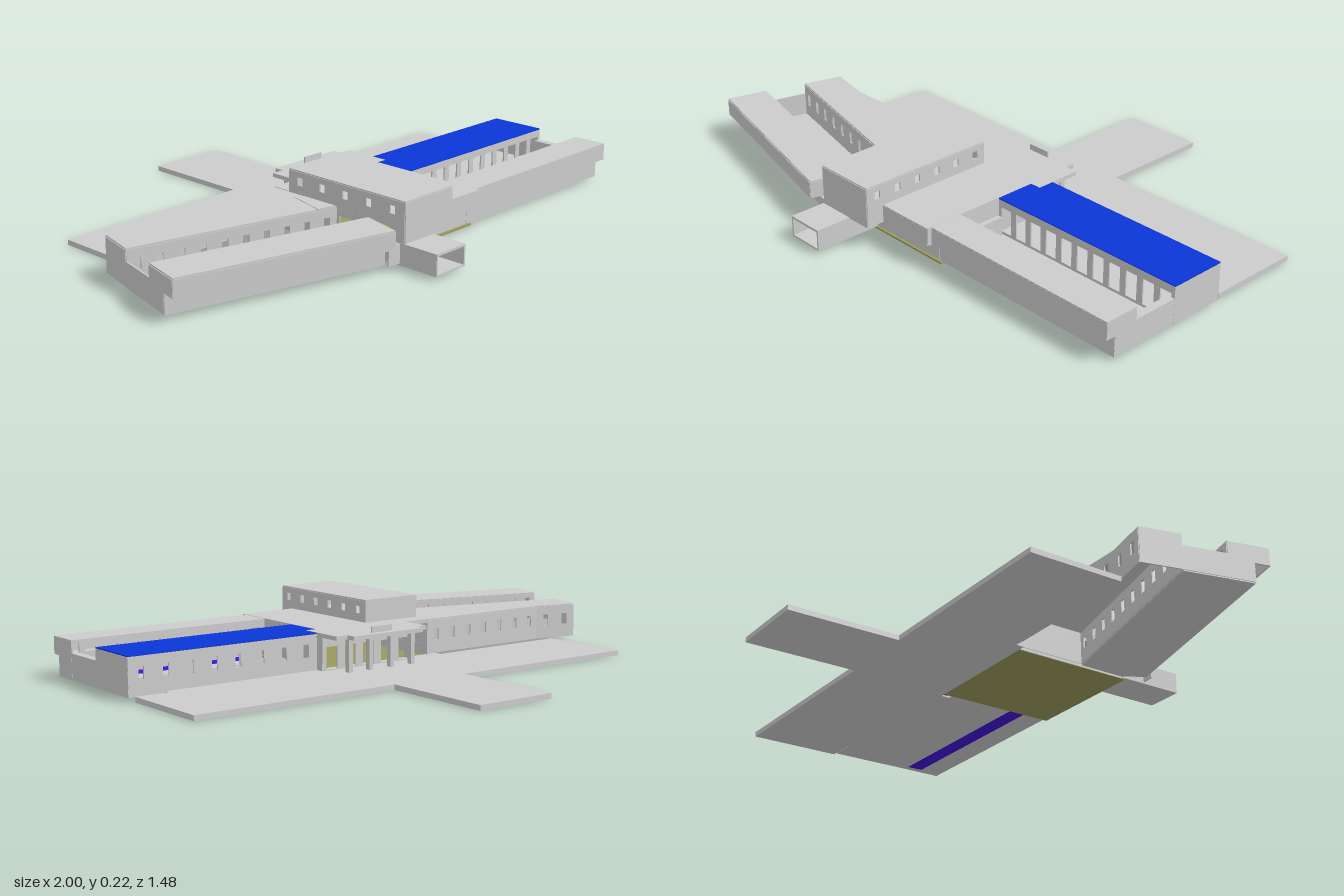
import * as THREE from 'three';

const material = (color) => new THREE.MeshStandardMaterial({ color, flatShading: true, side: THREE.DoubleSide });
const grey = material(0xcccccc), blue = material(0x0a36d8), purple = material(0x4210d8), olive = material(0x9a9a5c);

export function createModel() {
  const model = new THREE.Group();
  let part = model;
  const section = (name) => {
    part = new THREE.Group();
    part.name = name;
    model.add(part);
  };
  const add = (name, geometry, mat = grey) => {
    const mesh = new THREE.Mesh(geometry, mat);
    mesh.name = name;
    part.add(mesh);
    return mesh;
  };

  // Box given by its limits
  const block = (name, x0, x1, y0, y1, z0, z1, mat) => {
    add(name, new THREE.BoxGeometry(x1 - x0, y1 - y0, z1 - z0), mat)
      .position.set((x0 + x1) / 2, (y0 + y1) / 2, (z0 + z1) / 2);
  };

  // Horizontal slab over a plan outline of [x, z] points
  const slab = (name, pts, y0, y1, mat) => {
    const shape = new THREE.Shape(pts.map(([x, z]) => new THREE.Vector2(x, -z)));
    const geometry = new THREE.ExtrudeGeometry(shape, { depth: y1 - y0, bevelEnabled: false });
    add(name, geometry.rotateX(-Math.PI / 2).translate(0, y0, 0), mat);
  };

  // Thin vertical wall between two plan points, with a row of window openings
  const wall = (name, [ax, az], [bx, bz], y0, y1, windows = 0, width = 0.022, sill = 0.4, head = 0.75) => {
    const length = Math.hypot(bx - ax, bz - az), h = y1 - y0, t = 0.005;
    const rect = (S, x0, b, x1, c) => new S([[x0, b], [x1, b], [x1, c], [x0, c]].map((p) => new THREE.Vector2(...p)));
    const shape = rect(THREE.Shape, 0, 0, length, h);
    for (let i = 0; i < windows; i++) {
      const mid = length * (i + 0.5) / windows;
      shape.holes.push(rect(THREE.Path, mid - width / 2, h * sill, mid + width / 2, h * head));
    }
    const geometry = new THREE.ExtrudeGeometry(shape, { depth: t, bevelEnabled: false }).translate(0, 0, -t / 2);
    const mesh = add(name, geometry);
    mesh.position.set(ax, y0, az);
    mesh.rotation.y = -Math.atan2(bz - az, bx - ax);
  };

  // Walls along a closed outline; counts gives the windows on each side
  const walls = (name, pts, y0, y1, counts = []) =>
    pts.forEach((p, i) => wall(name, p, pts[(i + 1) % pts.length], y0, y1, counts[i] || 0));
  const rectangle = (x0, x1, z0, z1) => [[x0, z0], [x1, z0], [x1, z1], [x0, z1]];

  // Terrace and approach
  section('ground');
  slab('terrace', [[-0.79, -0.33], [-0.055, -0.33], [-0.055, -0.74], [0.24, -0.74], [0.24, -0.33],
    [0.985, -0.33], [0.985, 0.01], [0.87, 0.01], [0.87, 0.04], [-0.24, 0.04], [-0.24, 0.01], [-0.79, 0.01]], 0.002, 0.02);

  // Central hall: lower storey set back at the front, roof carried out as a canopy at the back
  section('centralHall');
  block('hallFloor', -0.2, 0.26, 0.01, 0.016, 0.04, 0.5, olive);
  slab('hallRoof', [[-0.055, -0.115], [0.24, -0.115], [0.24, -0.08], [0.285, -0.08], [0.285, 0.09], [0.245, 0.09],
    [0.245, 0.54], [-0.2, 0.54], [-0.2, 0.03], [-0.1, 0.03], [-0.1, -0.08], [-0.055, -0.08]], 0.133, 0.147);
  wall('frontUpperWall', [-0.065, 0.538], [0.243, 0.538], 0.085, 0.143);
  wall('frontLowerWall', [-0.2, 0.488], [0.243, 0.488], 0.012, 0.09);
  block('overhangSoffit', -0.2, 0.245, 0.085, 0.09, 0.488, 0.54);
  wall('rightWall', [0.243, 0.09], [0.243, 0.488], 0.012, 0.14);
  wall('rightUpperWall', [0.243, 0.488], [0.243, 0.538], 0.085, 0.14);
  wall('leftWall', [-0.198, 0.03], [-0.198, 0.488], 0.012, 0.14, 5, 0.05, 0.35, 0.8);
  wall('entranceWall', [-0.1, 0], [0.285, 0], 0.018, 0.135, 5, 0.045, 0.05, 0.7);
  for (const x of [-0.1, 0.283]) wall('entranceReturn', [x, 0], [x, 0.04], 0.018, 0.135);
  for (const x of [-0.04, 0.05, 0.14, 0.225]) block('canopyColumn', x - 0.008, x + 0.008, 0.018, 0.135, -0.08, -0.06);
  block('entrancePanel', 0.06, 0.145, 0.145, 0.168, -0.09, -0.085);

  // Raised block on the hall roof
  section('upperBlock');
  const upper = rectangle(-0.2, 0.025, 0.1, 0.603);
  slab('upperRoof', upper, 0.218, 0.226);
  walls('upperWall', upper, 0.145, 0.222, [0, 6, 0, 5]);
  walls('upperFrontBase', rectangle(-0.2, 0.025, 0.54, 0.603), 0.085, 0.147);
  block('upperSoffit', -0.2, 0.025, 0.085, 0.09, 0.54, 0.603);

  // Open-ended porch at the front
  section('porch');
  block('porchRoof', -0.203, -0.065, 0.08, 0.088, 0.488, 0.735);
  block('porchFloor', -0.203, -0.065, 0.014, 0.02, 0.488, 0.735);
  for (const x of [-0.203, -0.071]) block('porchSide', x, x + 0.006, 0.014, 0.085, 0.488, 0.735);

  // Right wing: back bar, courtyard and overhanging front bar
  section('rightWing');
  const rightBack = [[0.285, 0.03], [0.998, 0.03], [0.998, 0.235], [0.245, 0.235], [0.245, 0.09], [0.285, 0.09]];
  slab('backBarRoof', rightBack, 0.14, 0.146, blue);
  slab('backBarFloor', rightBack, 0.014, 0.02);
  wall('backWall', [0.285, 0.032], [0.998, 0.032], 0.014, 0.142, 8);
  wall('backBarEnd', [0.996, 0.03], [0.996, 0.235], 0.014, 0.142);
  wall('courtyardBackWall', [0.245, 0.233], [0.998, 0.233], 0.014, 0.142, 11, 0.045, 0.12, 0.8);
  block('courtyardFloor', 0.245, 0.998, 0.014, 0.02, 0.235, 0.34);
  block('courtyardStrip', 0.245, 0.97, 0.013, 0.021, 0.34, 0.4, purple);
  block('courtyardEnd', 0.97, 0.998, 0.014, 0.103, 0.235, 0.41);
  block('courtyardPartition', 0.268, 0.286, 0.02, 0.1, 0.26, 0.4);
  block('frontBarRoof', 0.245, 0.998, 0.14, 0.146, 0.4, 0.523);
  block('frontBarFloor', 0.245, 0.998, 0.014, 0.02, 0.4, 0.49);
  block('frontBarSoffit', 0.245, 0.998, 0.085, 0.09, 0.48, 0.523);
  wall('frontUpperWall', [0.245, 0.521], [0.998, 0.521], 0.085, 0.142);
  wall('frontLowerWall', [0.245, 0.488], [0.998, 0.488], 0.014, 0.09);
  wall('courtyardFrontWall', [0.245, 0.402], [0.97, 0.402], 0.02, 0.142, 9, 0.04, 0.4, 0.8);
  wall('frontBarEnd', [0.996, 0.4], [0.996, 0.488], 0.014, 0.142);
  wall('frontUpperEnd', [0.996, 0.488], [0.996, 0.523], 0.085, 0.142);

  // Left wing: the same layout, turned and with its back bar tapering
  section('leftWing');
  const leftBack = [[-0.89, 0], [-0.73, 0.035], [-0.2, 0.035], [-0.2, 0.312], [-0.926, 0.138]];
  slab('backBarRoof', leftBack, 0.138, 0.145);
  walls('backBarWall', leftBack, 0.022, 0.14, [2, 7, 0, 10, 0]);
  const leftFront = [[-0.963, 0.29], [-0.222, 0.47], [-0.259, 0.615], [-0.998, 0.432]];
  const lowerFront = [[-0.963, 0.29], [-0.222, 0.47], [-0.245, 0.56], [-0.985, 0.379]];
  slab('frontBarRoof', leftFront, 0.143, 0.15);
  walls('frontUpperWall', leftFront, 0.088, 0.145, [12]);
  walls('frontLowerWall', lowerFront, 0.022, 0.09, [12]);
  slab('wingFloor', [[-0.926, 0.138], [-0.2, 0.312], [-0.2, 0.48], [-0.245, 0.56], [-0.985, 0.379]], 0.018, 0.024);
  wall('courtyardEnd', [-0.926, 0.138], [-0.963, 0.29], 0.022, 0.105);
  slab('courtyardStair', [[-0.235, 0.16], [-0.205, 0.17], [-0.205, 0.312], [-0.27, 0.297]], 0.14, 0.147);
  slab('linkRoof', [[-0.222, 0.47], [-0.195, 0.475], [-0.195, 0.585], [-0.25, 0.58]], 0.08, 0.086);
  wall('linkWall', [-0.25, 0.58], [-0.195, 0.585], 0.02, 0.085);

  return model;
}
